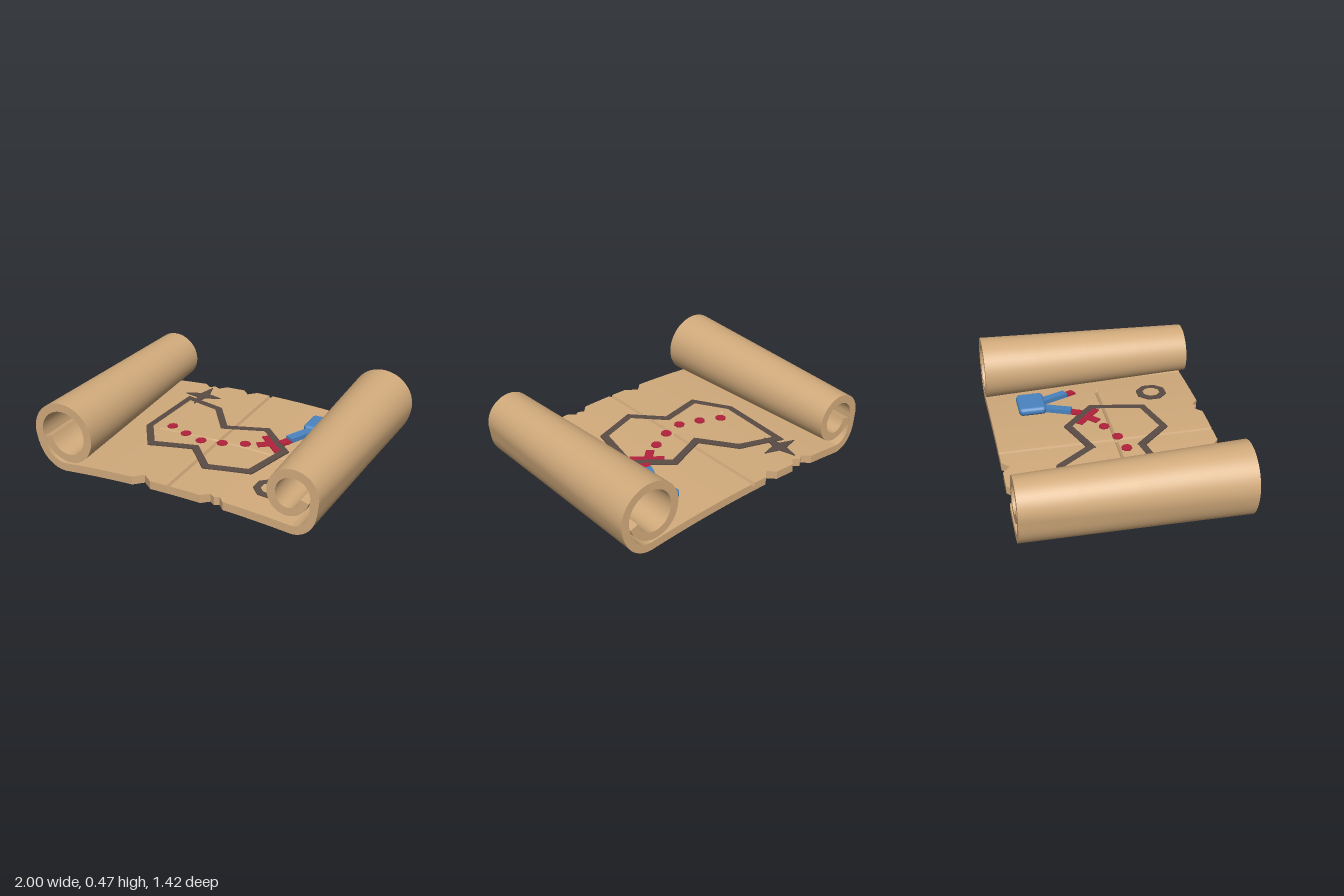
import * as THREE from 'three';
import { toCreasedNormals } from 'three/addons/utils/BufferGeometryUtils.js';
import { RoundedBoxGeometry } from 'three/addons/geometries/RoundedBoxGeometry.js';

const HALF = 0.71, ROLL_X = 0.79, THICK = 0.055, CENTER_Y = 0.26;

const material = (name, color) => {
  const m = new THREE.MeshStandardMaterial({ color });
  m.name = name;
  return m;
};

// Height of the gently arched paper surface
const surfaceY = (x) => 0.095 - 0.064 * x * x;
const ease = (t) => (1 - Math.cos(Math.PI * Math.min(1, Math.max(0, t)))) / 2;

// Solid strip of paper from a grid of upper and lower points
function paperGeometry(cols, rows, point) {
  const pos = [];
  const quad = (a, b, c, d) => [a, b, c, a, c, d].forEach((p) => pos.push(...p));
  const top = (i, j) => point(i, j, true), bot = (i, j) => point(i, j, false);
  for (let i = 0; i < cols - 1; i++) {
    for (let j = 0; j < rows - 1; j++) {
      quad(top(i, j), top(i, j + 1), top(i + 1, j + 1), top(i + 1, j));
      quad(bot(i, j), bot(i + 1, j), bot(i + 1, j + 1), bot(i, j + 1));
    }
    const f = rows - 1;
    quad(bot(i, f), bot(i + 1, f), top(i + 1, f), top(i, f));
    quad(bot(i + 1, 0), bot(i, 0), top(i, 0), top(i + 1, 0));
  }
  const e = cols - 1;
  for (let j = 0; j < rows - 1; j++) quad(bot(e, j), top(e, j), top(e, j + 1), bot(e, j + 1));
  const g = new THREE.BufferGeometry();
  g.setAttribute('position', new THREE.Float32BufferAttribute(pos, 3));
  return toCreasedNormals(g, 0.5);
}

// Flat middle with torn notches and two fold grooves
function sheetGeometry() {
  const frontNotches = [[-0.29, 0], [-0.23, 0.055], [-0.16, 0], [0.19, 0], [0.235, 0.045],
    [0.27, 0.022], [0.3, 0.04], [0.34, 0]];
  const backNotches = [[-0.55, 0], [-0.5, 0.045], [-0.465, 0.018], [-0.425, 0.045], [-0.38, 0],
    [-0.24, 0], [-0.19, 0.05], [-0.14, 0]];
  const depth = (notches, x) => {
    for (let k = 0; k < notches.length - 1; k++) {
      const [x0, d0] = notches[k], [x1, d1] = notches[k + 1];
      if (x >= x0 && x <= x1) return d0 + (d1 - d0) * (x - x0) / (x1 - x0);
    }
    return 0;
  };
  const xs = [-0.045, -0.032, -0.02, -0.5, -0.48, 0.62, 0.64];
  for (let k = 0; k <= 16; k++) xs.push(-ROLL_X + 2 * ROLL_X * k / 16);
  [...frontNotches, ...backNotches].forEach(([x]) => xs.push(x));
  const cols = [...new Set(xs)].sort((a, b) => a - b);
  const rows = [-HALF, -0.6, -0.3, 0, 0.046, 0.057, 0.068, 0.3, 0.6, HALF];
  return paperGeometry(cols.length, rows.length, (i, j, isTop) => {
    const x = cols[i];
    let z = rows[j], y = surfaceY(x);
    if (j === 0) z += depth(backNotches, x);
    if (j === rows.length - 1) z -= depth(frontNotches, x);
    if (!isTop) return [x, y - THICK, z];
    if (x === -0.032) y -= 0.03;
    else if (j === 5 && x > -0.49 && x < 0.63) y -= 0.018;
    return [x, y, z];
  });
}

// Tapered curl of a little over one turn
function rollGeometry() {
  const cols = 61, rows = 5, turn = 432;
  return paperGeometry(cols, rows, (i, j, isTop) => {
    const deg = turn * i / (cols - 1), a = deg * Math.PI / 180;
    const z = -HALF + 2 * HALF * j / (rows - 1);
    const base = 0.1875 - 0.0225 * z / HALF;
    const r = base + (CENTER_Y - base) * (1 - ease(deg / 80))
      - 0.058 * ease((deg - 300) / 130) - (isTop ? THICK : 0);
    return [ROLL_X + r * Math.sin(a), CENTER_Y - r * Math.cos(a), z];
  });
}

// Thin plate cut from [x, z] points and laid on the paper
function plateGeometry(points, hole, height = 0.007) {
  const flat = (list) => list.map(([x, z]) => new THREE.Vector2(x, -z));
  const shape = new THREE.Shape(flat(points));
  if (hole) shape.holes.push(new THREE.Path(flat(hole)));
  const g = new THREE.ExtrudeGeometry(shape, { depth: height, bevelEnabled: false });
  g.rotateX(-Math.PI / 2);
  const p = g.attributes.position;
  for (let i = 0; i < p.count; i++) p.setY(i, p.getY(i) + surfaceY(p.getX(i)));
  g.computeVertexNormals();
  return g;
}

const ringPoints = (cx, cz, n, radius, start = 0) => Array.from({ length: n }, (_, k) => {
  const a = start + k * 2 * Math.PI / n, r = typeof radius === 'function' ? radius(k) : radius;
  return [cx + r * Math.cos(a), cz + r * Math.sin(a)];
});

// Mitred offset of a closed path
function offsetPath(path, d) {
  const n = path.length;
  const normal = (a, b) => {
    const l = Math.hypot(b[0] - a[0], b[1] - a[1]);
    return [(b[1] - a[1]) / l, -(b[0] - a[0]) / l];
  };
  return path.map((p, k) => {
    const m = normal(path[(k + n - 1) % n], p), q = normal(p, path[(k + 1) % n]);
    const s = d / (1 + m[0] * q[0] + m[1] * q[1]);
    return [p[0] + (m[0] + q[0]) * s, p[1] + (m[1] + q[1]) * s];
  });
}

// Four corners of a straight stroke from a to b
function stroke(a, b, width) {
  const l = Math.hypot(b[0] - a[0], b[1] - a[1]);
  const nx = -(b[1] - a[1]) / l * width / 2, nz = (b[0] - a[0]) / l * width / 2;
  return [[a[0] + nx, a[1] + nz], [b[0] + nx, b[1] + nz], [b[0] - nx, b[1] - nz], [a[0] - nx, a[1] - nz]];
}

export function createModel() {
  const paper = material('parchment', 0xd2ab7c);
  const ink = material('dark ink', 0x5a4c45);
  const red = material('red ink', 0xb3213c);
  const blue = material('blue', 0x4a84c0);
  const model = new THREE.Group();
  model.name = 'treasureMap';
  const add = (name, geometry, mat) => {
    const mesh = new THREE.Mesh(geometry, mat);
    mesh.name = name;
    model.add(mesh);
    return mesh;
  };

  // Paper
  add('sheet', sheetGeometry(), paper);
  add('leftRoll', rollGeometry(), paper);
  add('rightRoll', rollGeometry(), paper).rotation.y = Math.PI;

  // Island outline, compass star and ring
  const coast = [[-0.53, -0.43], [-0.257, -0.35], [-0.09, -0.118], [0.18, -0.22], [0.4, -0.02],
    [0.325, 0.32], [0.053, 0.4], [-0.125, 0.21], [-0.417, 0.277], [-0.56, 0.06]];
  add('islandOutline', plateGeometry(offsetPath(coast, 0.024), offsetPath(coast, -0.024), 0.009), ink);
  add('compassStar', plateGeometry(ringPoints(-0.465, -0.51, 8, (k) => (k % 2 ? 0.045 : 0.138))), ink);
  add('ringMark', plateGeometry(ringPoints(0.52, 0.43, 8, 0.107, Math.PI / 8),
    ringPoints(0.52, 0.43, 8, 0.06, Math.PI / 8)), ink);

  // Dotted trail and cross
  [[-0.417, 0], [-0.28, 0.06], [-0.14, 0.107], [0, 0.077], [0.137, 0.015]].forEach(([x, z]) =>
    add('trailDot', plateGeometry(ringPoints(x, z, 8, 0.036, Math.PI / 8)), red));
  add('crossStroke', plateGeometry(stroke([0.205, -0.145], [0.37, 0.005], 0.055), null, 0.006), red);
  add('crossStroke', plateGeometry(stroke([0.21, -0.01], [0.37, -0.15], 0.055), null, 0.007), red);

  // Blue drawing tool with two legs and a red tip
  const body = add('toolBody', new RoundedBoxGeometry(0.23, 0.06, 0.205, 4, 0.029), blue);
  body.geometry.scale(1, 1, 1);
  body.position.set(0.49, 0.108, -0.422);
  add('toolLeg', plateGeometry(stroke([0.44, -0.34], [0.365, -0.165], 0.058), null, 0.03), blue);
  add('toolLeg', plateGeometry(stroke([0.54, -0.34], [0.615, -0.165], 0.058), null, 0.03), blue);
  add('toolTip', plateGeometry(stroke([0.366, -0.167], [0.335, -0.1], 0.058), null, 0.012), red);
  add('toolTip', plateGeometry(stroke([0.614, -0.167], [0.645, -0.1], 0.058), null, 0.012), red);

  // Rounder outline for the tool body seen from above
  const p = body.geometry.attributes.position;
  for (let i = 0; i < p.count; i++) {
    const x = p.getX(i) / 0.115, z = p.getZ(i) / 0.1025;
    const k = 1 - 0.16 * Math.pow(Math.abs(x * z), 2);
    p.setX(i, p.getX(i) * k);
    p.setZ(i, p.getZ(i) * k);
  }
  return model;
}
